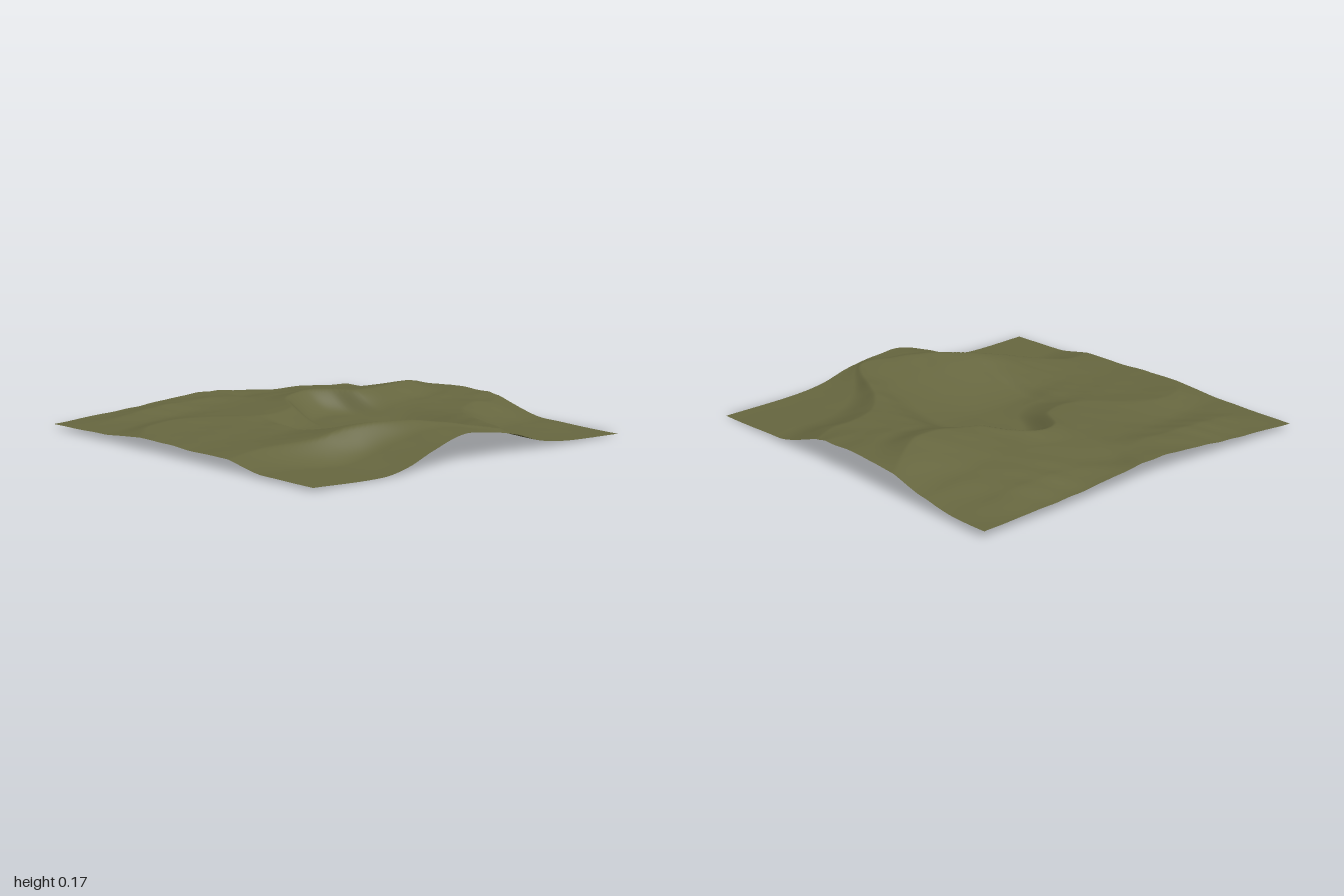
import * as THREE from 'three';

const { smoothstep, clamp, lerp } = THREE.MathUtils;

// Edge heights as [x, height]; crests and trough as [x, height, z]
const backEdge = [[-1, 0.025], [-0.5, 0.06], [0, 0.093], [0.4, 0.06], [1, 0.035]];
const backCrest = [[-1, 0.03, -0.75], [-0.5, 0.085, -0.8], [-0.05, 0.095, -0.8], [0.08, 0.077, -0.85],
  [0.5, 0.092, -0.82], [1, 0.035, -0.8]];
const backTrough = [[-1, 0.035, -0.56], [-0.2, 0.08, -0.64], [0.45, 0.115, -0.57], [1, 0.06, -0.6]];
const middleCrest = [[-1, 0.06, -0.24], [-0.84, 0.076, -0.39], [-0.6, 0.086, -0.41], [-0.3, 0.094, -0.2],
  [-0.07, 0.105, -0.24], [0.04, 0.12, -0.41], [0.2, 0.14, -0.46], [0.3, 0.148, -0.39],
  [0.38, 0.145, -0.25], [0.72, 0.168, -0.21], [1, 0.108, -0.38]];
const frontCrest = [[-1, 0.055, 0.43], [-0.8, 0.07, 0.4], [-0.56, 0.108, 0.52], [-0.4, 0.145, 0.56],
  [-0.18, 0.17, 0.69], [0.03, 0.15, 0.85], [0.2, 0.12, 0.94], [0.4, 0.108, 0.55],
  [0.55, 0.104, 0.37], [0.74, 0.108, 0.28], [0.84, 0.1, 0.29], [1, 0.105, 0.2]];
const frontEdge = [[-1, 0.02], [-0.6, 0.008], [-0.45, 0.033], [-0.3, 0.085], [-0.12, 0.138],
  [0.05, 0.125], [0.25, 0.09], [0.4, 0.046], [0.6, 0.02], [1, 0.005]];

// Smooth curve through one column of a list of points
function sample(points, x, axis) {
  let i = 0;
  while (i < points.length - 2 && x > points[i + 1][0]) i++;
  const a = points[i], b = points[i + 1];
  const before = points[Math.max(0, i - 1)], after = points[Math.min(points.length - 1, i + 2)];
  const w = b[0] - a[0];
  const f = (x - a[0]) / w, f2 = f * f, f3 = f2 * f;
  const m0 = w * (b[axis] - before[axis]) / (b[0] - before[0]);
  const m1 = w * (after[axis] - a[axis]) / (after[0] - a[0]);
  return (2 * f3 - 3 * f2 + 1) * a[axis] + (f3 - 2 * f2 + f) * m0
    + (3 * f2 - 2 * f3) * b[axis] + (f3 - f2) * m1;
}

// Height of the middle plain: a gentle rise to the left with a sunken basin
function plainHeight(x) {
  const westBank = 0.04 * smoothstep(x, -0.36, -0.26) + 0.03 * smoothstep(x, -0.26, 0.1);
  return 0.085 + 0.032 * x - westBank * (1 - smoothstep(x, 0.28, 0.52));
}

// Feature lines crossing one x, from back to front
function crossSection(x) {
  const at = (line) => ({ h: sample(line, x, 1), z: sample(line, x, 2) });
  const middle = at(middleCrest), front = at(frontCrest);
  const plain = plainHeight(x), edge = sample(frontEdge, x, 1);
  return [
    { z: -1, h: sample(backEdge, x, 1) },
    at(backCrest),
    at(backTrough),
    middle,
    { z: middle.z + 0.23, h: plain + 0.006 },
    { z: 0.13, h: plain },
    front,
    { z: lerp(front.z, 1, 0.43), h: edge + 0.008 + 0.008 * x },
    { z: 1, h: edge },
  ];
}

// Fine weathering, with extra crags towards the back
function weathering(x, z) {
  const crags = smoothstep(-z, 0.5, 0.8);
  return 0.5 * Math.sin(9 * x + 4 * Math.sin(5 * z)) * Math.sin(11 * z + 2 * x)
    + (0.3 + 0.7 * crags) * Math.sin(23 * x - 7 * z) * Math.sin(19 * z + 3 * Math.sin(6 * x));
}

// Height between two lines: falls steeply below a crest, then flattens out
function heightAt(section, x, z) {
  let k = 0;
  while (k < section.length - 2 && z > section[k + 1].z) k++;
  const a = section[k], b = section[k + 1];
  const f = clamp((z - a.z) / (b.z - a.z), 0, 1);
  const concave = a.h > b.h ? 1 - (1 - f) ** 2 : f ** 1.4;
  const eased = 0.5 * concave + 0.5 * f * f * (3 - 2 * f);
  return lerp(a.h, b.h, eased) * (1 + 0.04 * weathering(x, z));
}

export function createModel() {
  const group = new THREE.Group();
  group.name = 'terrain';

  const olive = new THREE.MeshStandardMaterial({ color: 0x66663f, side: THREE.DoubleSide });
  olive.name = 'olive ground';

  // Open ground sheet, raised by the feature lines
  const steps = 160;
  const geometry = new THREE.PlaneGeometry(2, 2, steps, steps).rotateX(-Math.PI / 2);
  const pos = geometry.attributes.position;
  for (let c = 0; c <= steps; c++) {
    const x = pos.getX(c);
    const section = crossSection(x);
    for (let r = 0; r <= steps; r++) {
      const i = r * (steps + 1) + c;
      pos.setY(i, heightAt(section, x, pos.getZ(i)));
    }
  }
  geometry.computeBoundingBox();
  geometry.translate(0, -geometry.boundingBox.min.y, 0);
  geometry.computeVertexNormals();

  const ground = new THREE.Mesh(geometry, olive);
  ground.name = 'hillyGround';
  group.add(ground);
  return group;
}
